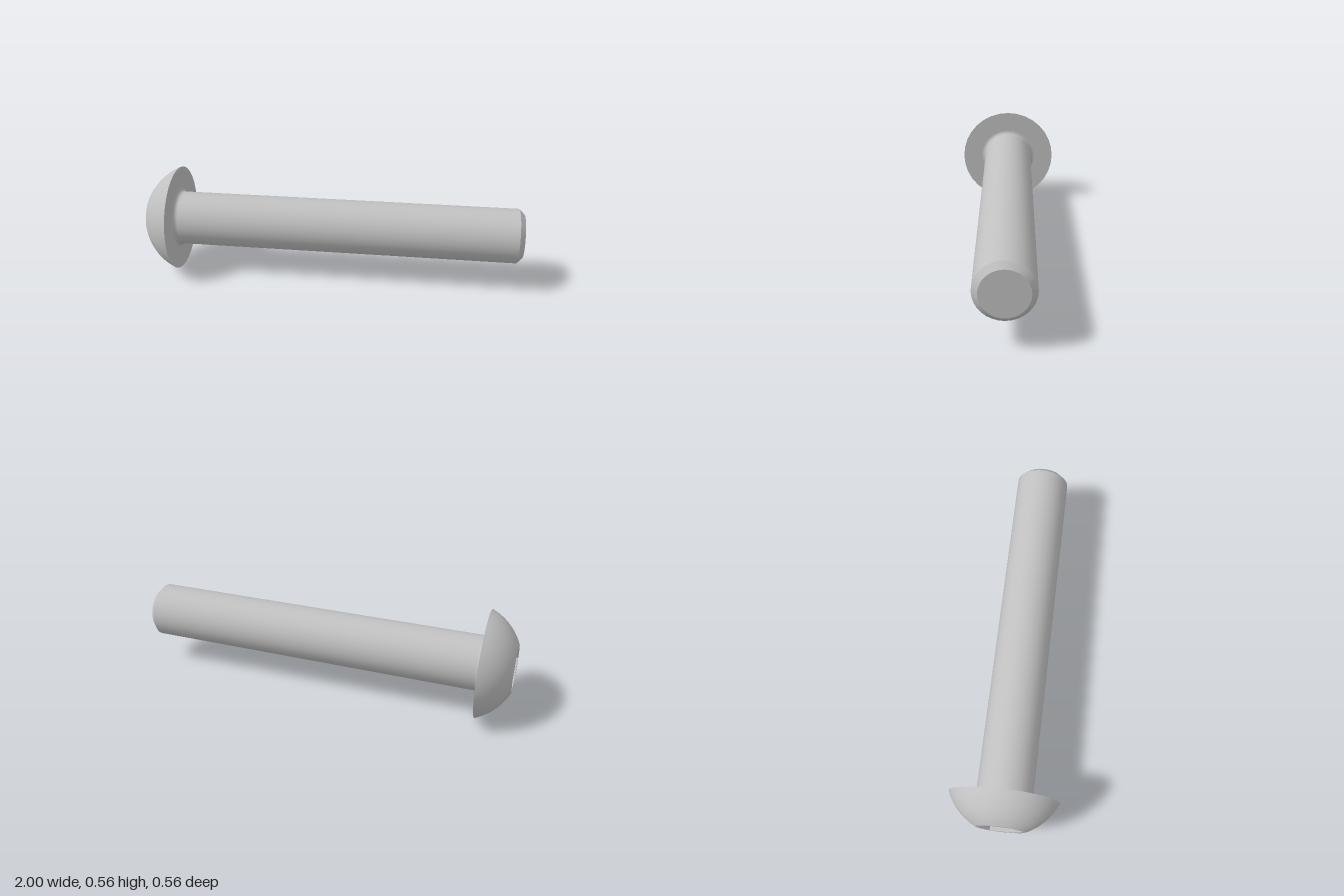
import * as THREE from 'three';

const SEGMENTS = 32;
const AXIS_HEIGHT = 0.28;
const HEAD_X = -1, SEAT_X = -0.843, TIP_X = 1;
const HEAD_R = 0.28, FACE_R = 0.125, SHANK_R = 0.143, TIP_R = 0.115;
const SOCKET_R = 0.115, SOCKET_DEPTH = 0.105;

// Points [radius, x] on a circular arc in the profile plane
function arc(centreR, centreX, radius, from, to, steps) {
  return Array.from({ length: steps + 1 }, (_, i) => {
    const a = from + (to - from) * i / steps;
    return [centreR + radius * Math.sin(a), centreX + radius * Math.cos(a)];
  });
}

// Revolve a profile of [radius, x] points around the x axis
function revolve(profile, segments = SEGMENTS) {
  const points = profile.map(([r, x]) => new THREE.Vector2(r, x));
  return new THREE.LatheGeometry(points, segments).rotateZ(-Math.PI / 2);
}

export function createModel() {
  const steel = new THREE.MeshStandardMaterial({ color: 0xc0c0c0 });
  steel.name = 'steel grey';
  const bolt = new THREE.Group();
  bolt.name = 'bolt';

  const add = (name, geometry) => {
    const mesh = new THREE.Mesh(geometry, steel);
    mesh.name = name;
    mesh.position.y = AXIS_HEIGHT;
    bolt.add(mesh);
  };

  // Domed head: sphere zone between the flat face and the rim
  const span = SEAT_X - HEAD_X;
  const centreX = ((HEAD_R ** 2 - FACE_R ** 2) / span - HEAD_X - SEAT_X) / 2 * -1;
  const domeX = -centreX - 0 + (HEAD_X + SEAT_X);
  const radius = Math.hypot(HEAD_R, SEAT_X - domeX);
  add('headDome', revolve(arc(0, domeX, radius,
    Math.atan2(FACE_R, HEAD_X - domeX), Math.atan2(HEAD_R, SEAT_X - domeX), 10)));

  // Flat head face with a hexagonal opening
  const face = new THREE.Shape().absarc(0, 0, FACE_R, 0, Math.PI * 2);
  const hexagon = Array.from({ length: 6 }, (_, i) => new THREE.Vector2(
    SOCKET_R * Math.cos(i * Math.PI / 3), SOCKET_R * Math.sin(i * Math.PI / 3)));
  face.holes.push(new THREE.Path(hexagon));
  add('headFace', new THREE.ShapeGeometry(face, SEGMENTS / 2)
    .rotateY(-Math.PI / 2).translate(HEAD_X, 0, 0));

  // Hexagonal socket: floor and walls facing inward
  const floorX = HEAD_X + SOCKET_DEPTH;
  const socket = revolve([[0, floorX], [SOCKET_R, floorX], [SOCKET_R, HEAD_X]], 6).toNonIndexed();
  socket.computeVertexNormals();
  add('hexSocket', socket);

  // Underside of the head
  const filletR = 0.022;
  add('headUnderside', revolve([[HEAD_R, SEAT_X], [SHANK_R + filletR, SEAT_X]]));

  // Fillet running smoothly into the shank
  const fillet = arc(SHANK_R + filletR, SEAT_X + filletR, filletR, -Math.PI, -Math.PI / 2, 5);
  add('shank', revolve([...fillet, [SHANK_R, 0.972]]));

  // Chamfered tip and flat end
  add('tipChamfer', revolve([[SHANK_R, 0.972], [TIP_R, TIP_X]]));
  add('tipFace', revolve([[TIP_R, TIP_X], [0, TIP_X]]));

  return bolt;
}
